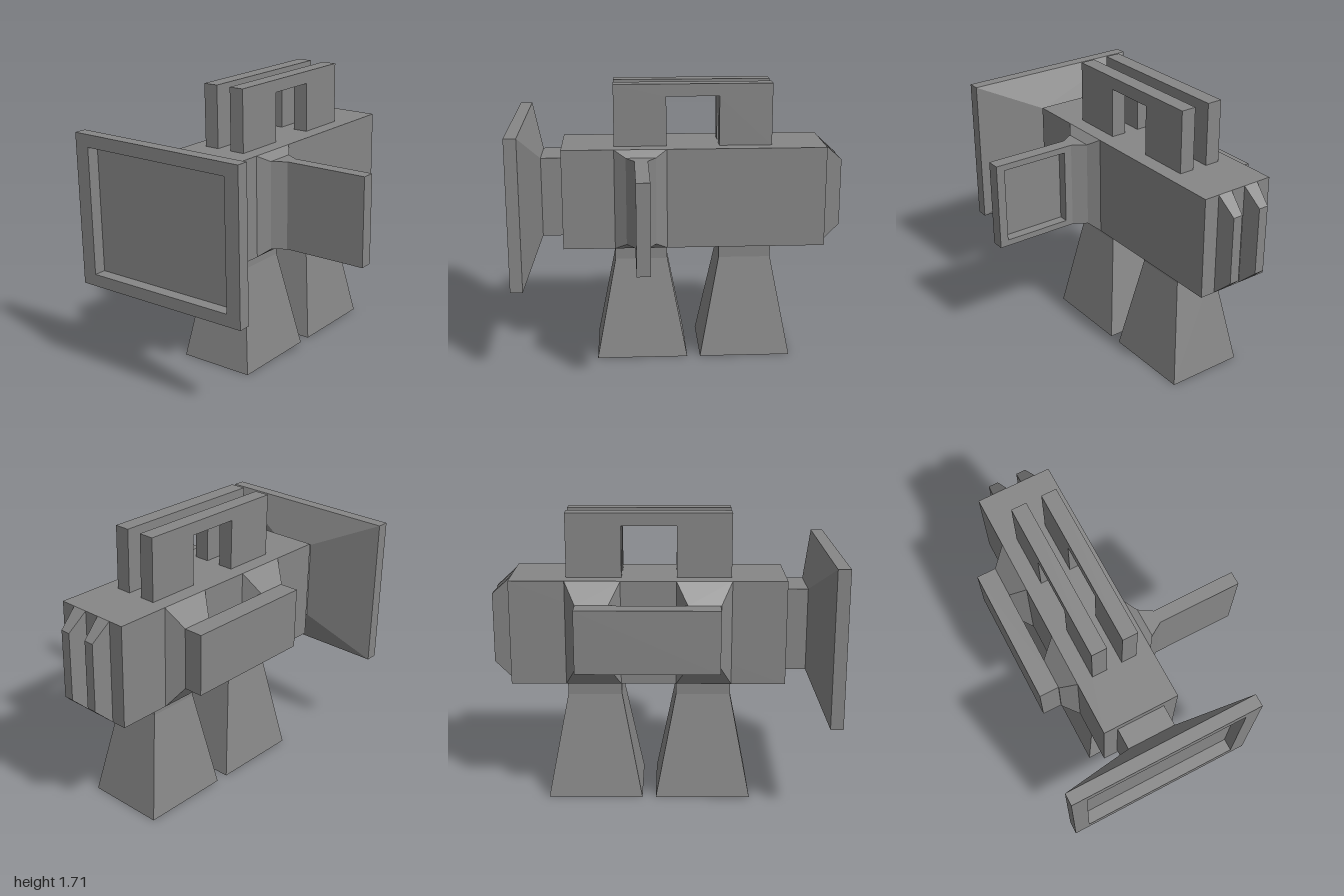
import * as THREE from 'three';

const material = new THREE.MeshStandardMaterial({ color: 0x868686, flatShading: true });

// Maps (a, b, t) to xyz, where t runs along the named axis
const AXES = {
  x: (a, b, t) => [t, a, b], // a = y, b = z
  y: (a, b, t) => [b, t, a], // a = z, b = x
  z: (a, b, t) => [a, b, t], // a = x, b = y
};

// Capped loft through rectangles [t, a0, a1, b0, b1]; stepping back inwards makes a recess
function loft(name, axis, sections) {
  const rings = sections.map(([t, a0, a1, b0, b1]) =>
    [[a0, b0], [a1, b0], [a1, b1], [a0, b1]].map(([a, b]) => AXES[axis](a, b, t)));
  const pos = [];
  const quad = (a, b, c, d) => pos.push(...a, ...b, ...c, ...a, ...c, ...d);
  for (let s = 0; s < rings.length - 1; s++) {
    const p = rings[s], q = rings[s + 1];
    for (let i = 0; i < 4; i++) {
      const j = (i + 1) % 4;
      quad(p[i], p[j], q[j], q[i]);
    }
  }
  const first = rings[0], last = rings[rings.length - 1];
  quad(first[3], first[2], first[1], first[0]);
  quad(last[0], last[1], last[2], last[3]);
  const geometry = new THREE.BufferGeometry();
  geometry.setAttribute('position', new THREE.Float32BufferAttribute(pos, 3));
  geometry.computeVertexNormals();
  const mesh = new THREE.Mesh(geometry, material);
  mesh.name = name;
  return mesh;
}

export function createModel() {
  const model = new THREE.Group();
  model.name = 'camera';

  // Main body
  model.add(loft('body', 'z', [[-0.89, -0.38, 0.082, 0.717, 1.33], [0.705, -0.38, 0.082, 0.717, 1.33]]));

  // Lens neck flaring into a hood with a recessed front
  model.add(loft('lensHood', 'z', [
    [0.705, -0.295, -0.003, 0.78, 1.265],
    [0.83, -0.295, -0.003, 0.78, 1.265],
    [0.927, -0.727, 0.427, 0.567, 1.477],
    [1.0, -0.727, 0.427, 0.567, 1.477],
    [1.0, -0.635, 0.335, 0.64, 1.402],
    [0.927, -0.635, 0.335, 0.64, 1.402],
  ]));

  // Flared feet and side grip brackets, front and back
  for (const [label, z] of [['front', 0.23], ['back', -0.41]]) {
    model.add(loft(label + 'Foot', 'y', [
      [0, z - 0.28, z + 0.28, -0.39, 0.092],
      [0.62, z - 0.16, z + 0.16, -0.288, -0.01],
      [0.717, z - 0.16, z + 0.16, -0.288, -0.01],
    ]));
    model.add(loft(label + 'GripBracket', 'x', [
      [-0.47, 0.84, 1.21, z - 0.095, z + 0.095],
      [-0.38, 0.717, 1.33, z - 0.16, z + 0.16],
    ]));
  }

  // Side grip bar
  model.add(loft('gripBar', 'x', [[-0.587, 0.84, 1.21, -0.505, 0.32], [-0.47, 0.84, 1.21, -0.505, 0.32]]));

  // Paired carry handles on top and tapered fins at the back
  const arch = new THREE.Shape([
    [0.39, 1.33], [0.39, 1.705], [-0.567, 1.705], [-0.567, 1.33],
    [-0.247, 1.33], [-0.247, 1.63], [0.073, 1.63], [0.073, 1.33],
  ].map(([z, y]) => new THREE.Vector2(-z, y)));
  for (const x of [-0.288, -0.103]) {
    const handle = new THREE.Mesh(
      new THREE.ExtrudeGeometry(arch, { depth: 0.092, bevelEnabled: false }), material);
    handle.name = 'topHandle';
    handle.rotation.y = Math.PI / 2;
    handle.position.x = x;
    model.add(handle);
    model.add(loft('rearFin', 'z', [
      [-1, x + 0.016, x + 0.076, 0.82, 1.23],
      [-0.89, x, x + 0.092, 0.717, 1.33],
    ]));
  }

  // Fold-out screen: tapered hinge, then a plate recessed on its rear face
  const screen = new THREE.Group();
  screen.name = 'foldOutScreen';
  screen.add(loft('screenHinge', 'x', [
    [0.082, 0.717, 1.33, 0.073, 0.39],
    [0.132, 0.757, 1.29, 0.14, 0.32],
    [0.212, 0.757, 1.29, 0.19, 0.27],
  ]));
  screen.add(loft('screenPlate', 'z', [
    [0.25, 0.26, 0.675, 0.795, 1.252],
    [0.19, 0.26, 0.675, 0.795, 1.252],
    [0.19, 0.212, 0.727, 0.757, 1.29],
    [0.27, 0.212, 0.727, 0.757, 1.29],
  ]));
  model.add(screen);

  return model;
}
